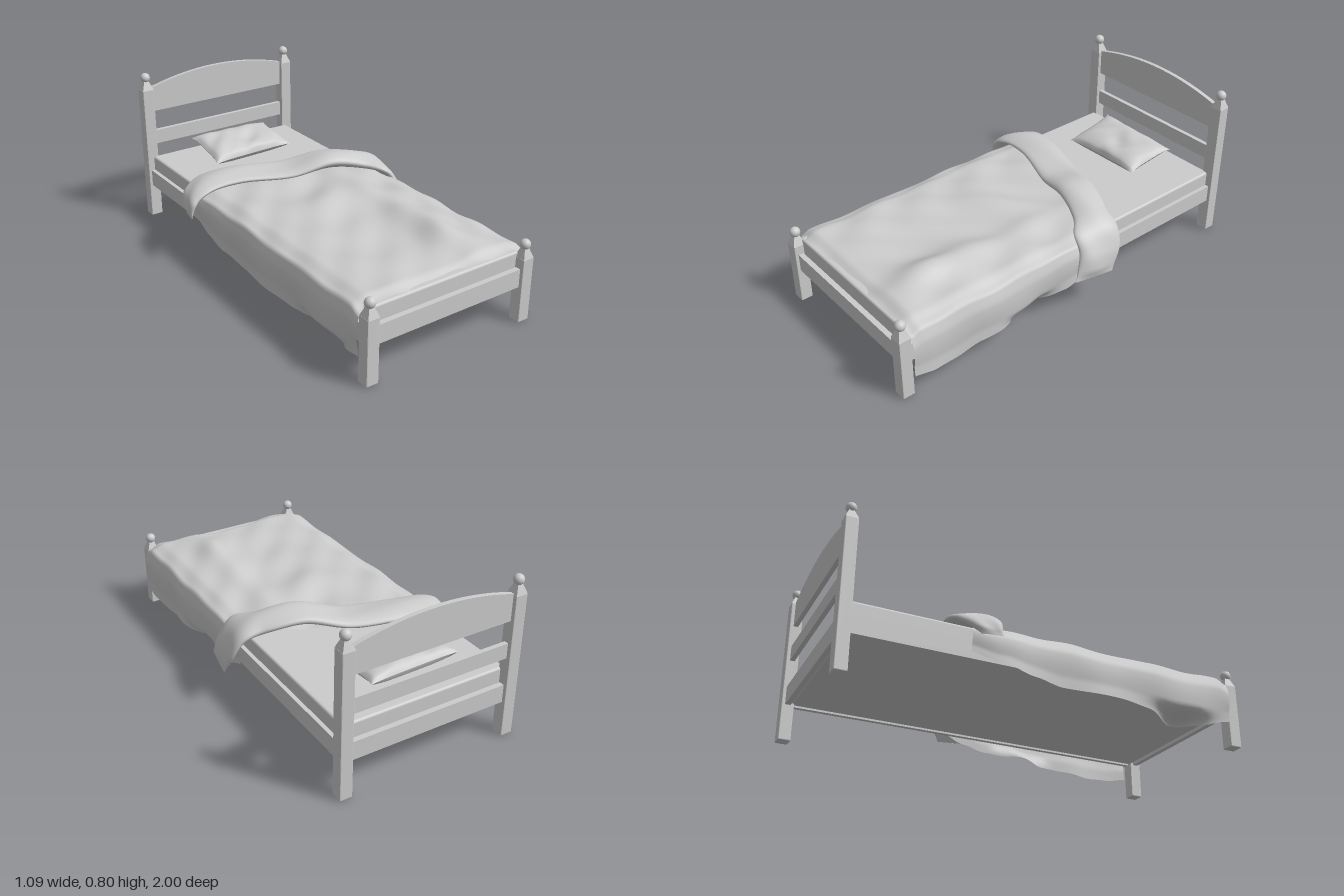
import * as THREE from 'three';
import { mergeVertices } from 'three/addons/utils/BufferGeometryUtils.js';
import { RoundedBoxGeometry } from 'three/addons/geometries/RoundedBoxGeometry.js';

const wood = new THREE.MeshStandardMaterial({ color: 0xcccccc });
const facet = new THREE.MeshStandardMaterial({ color: 0xcccccc, flatShading: true });
const cloth = new THREE.MeshStandardMaterial({ color: 0xcccccc, side: THREE.DoubleSide });

function add(parent, name, geometry, material, x = 0, y = 0, z = 0) {
  const mesh = new THREE.Mesh(geometry, material);
  mesh.name = name;
  mesh.position.set(x, y, z);
  parent.add(mesh);
  return mesh;
}

// Grid surface: fn(u, v) with u and v in 0..1 returns [x, y, z]
function surface(nu, nv, fn) {
  const pos = [], idx = [];
  for (let j = 0; j <= nv; j++)
    for (let i = 0; i <= nu; i++) pos.push(...fn(i / nu, j / nv));
  for (let j = 0; j < nv; j++)
    for (let i = 0; i < nu; i++) {
      const a = j * (nu + 1) + i, c = a + nu + 1;
      idx.push(a, c, a + 1, a + 1, c, c + 1);
    }
  let g = new THREE.BufferGeometry();
  g.setAttribute('position', new THREE.Float32BufferAttribute(pos, 3));
  g.setIndex(idx);
  g = mergeVertices(g, 1e-5);
  g.computeVertexNormals();
  return g;
}

// Smooth interpolation through evenly spaced values
function sample(list, t) {
  const f = Math.min(Math.max(t, 0), 1) * (list.length - 1);
  const i = Math.min(Math.floor(f), list.length - 2);
  return THREE.MathUtils.lerp(list[i], list[i + 1], THREE.MathUtils.smoothstep(f - i, 0, 1));
}

const bump = (a, b, ca, cb, ra, rb) => Math.exp(-(((a - ca) / ra) ** 2) - ((b - cb) / rb) ** 2);
const wrinkle = (x, z) =>
  0.005 * Math.sin(11 * x + 7 * z + 2 * Math.sin(5 * z)) +
  0.004 * Math.sin(19 * z - 8 * x + 1.5 * Math.sin(9 * x)) +
  0.0025 * Math.sin(27 * x + 23 * z);

// Square post with a tapered shoulder and a ball on top
function post(name, x, z, shoulder) {
  const g = new THREE.Group();
  g.name = name;
  g.position.set(x, 0, z);
  add(g, 'postShaft', new RoundedBoxGeometry(0.062, shoulder, 0.06, 1, 0.004), facet, 0, shoulder / 2, 0);
  const taper = new THREE.CylinderGeometry(0.018, 0.042, 0.045, 4).rotateY(Math.PI / 4);
  add(g, 'postShoulder', taper, facet, 0, shoulder + 0.02, 0);
  add(g, 'postBall', new THREE.SphereGeometry(0.025, 24, 16), wood, 0, shoulder + 0.06, 0);
  return g;
}

// Arched upper panel of the headboard
function archPanel() {
  const s = new THREE.Shape();
  s.moveTo(-0.4, 0.59);
  s.lineTo(0.4, 0.59);
  s.lineTo(0.4, 0.72);
  for (let i = 1; i <= 32; i++) {
    const x = 0.4 - 0.8 * i / 32;
    s.lineTo(x, 0.72 + 0.057 * (1 - (x / 0.4) ** 2));
  }
  return new THREE.ExtrudeGeometry(s, { depth: 0.022, bevelEnabled: false }).translate(0, 0, -0.011);
}

// Pillow half: puffed centre, pinched edges and drawn-out corners
function pillowHalf(dir) {
  return surface(36, 28, (u, v) => {
    const a = 2 * u - 1, b = 2 * v - 1;
    const puff = Math.pow((1 - a ** 4) * (1 - b ** 4), 0.55);
    const x = 0.23 * a * (1 - 0.06 * (1 - b ** 4));
    const z = 0.14 * b * (1 - 0.07 * (1 - a ** 4));
    const dent = 0.6 * wrinkle(2 * x + 0.3, 2 * z) - 0.01 * bump(a, b, 0.15, 0.2, 0.4, 0.4);
    return [x, dir * 0.043 * puff + dent * (dir > 0 ? puff : 0) + 0.006 * a * b, z];
  });
}

// Blanket: lies over the mattress and hangs down both sides
const hemPlus = [0.2, 0.16, 0.13, 0.11, 0.085, 0.1, 0.095, 0.08, 0.09, 0.11];
const hemMinus = [0.2, 0.17, 0.14, 0.12, 0.12, 0.12, 0.11, 0.085, 0.09, 0.12];
function blanketPoint(u, v) {
  const s = 2 * u - 1, side = Math.sign(s), m = Math.abs(s), split = 0.66;
  const flat = Math.min(m / split, 1) * side * 0.455;
  const z0 = -0.3 + 0.28 * flat - 0.03 * Math.cos(5 * flat);
  const z = THREE.MathUtils.lerp(z0, 0.94, v);
  // top surface with a long ridge and soft wrinkles
  let y = 0.362 + wrinkle(flat, z) + 0.05 * bump(flat, z, 0.2, 0.64, 0.09, 0.2)
    + 0.018 * bump(flat, z, 0.22, 0.2, 0.07, 0.4) + 0.015 * bump(flat, z, -0.1, 0.1, 0.25, 0.15);
  y -= 0.022 * THREE.MathUtils.smoothstep(z, 0.88, 0.94);
  y -= 0.02 * THREE.MathUtils.smoothstep(Math.abs(flat), 0.38, 0.455);
  let x = flat;
  if (m > split) {
    // hanging sides
    const q = (m - split) / (1 - split);
    y = THREE.MathUtils.lerp(y, sample(side > 0 ? hemPlus : hemMinus, v), q);
    const tuck = side > 0 ? 0.1 * bump(z, 0, 0.29, 0, 0.1, 1) : 0.12 * bump(z, 0, 0.68, 0, 0.12, 1);
    const belly = Math.sin(Math.PI * Math.min(q * 1.3, 1)) * 0.008;
    x = side * (0.457 + 0.012 * Math.min(q * 4, 1) + belly + q * 0.008 * Math.sin(14 * z + 2 * side)
      - tuck * THREE.MathUtils.smoothstep(q, 0.72, 1));
  }
  return [x, y, z];
}

// Turned-down edge of the blanket: a flattened roll crossing the bed and drooping at both ends
function foldGeometry() {
  const path = new THREE.CatmullRomCurve3([
    [-0.535, 0.26, -0.34], [-0.5, 0.335, -0.38], [-0.42, 0.375, -0.4], [-0.25, 0.393, -0.37],
    [0, 0.39, -0.3], [0.2, 0.43, -0.22], [0.36, 0.405, -0.16], [0.455, 0.37, -0.12],
    [0.505, 0.29, -0.09], [0.53, 0.18, -0.05],
  ].map(p => new THREE.Vector3(...p)));
  const widths = [0.05, 0.09, 0.1, 0.095, 0.1, 0.09, 0.09, 0.115, 0.11, 0.1];
  const depths = [0.014, 0.026, 0.025, 0.028, 0.028, 0.035, 0.034, 0.03, 0.028, 0.016];
  const across = new THREE.Vector3(0.2, 0, -0.98);
  return surface(80, 32, (u, v) => {
    const a = v * Math.PI * 2;
    const c = path.getPoint(u);
    const t = path.getTangent(u);
    const n = new THREE.Vector3().crossVectors(t, across).normalize();
    const end = Math.min(1, 0.15 + 25 * Math.min(u, 1 - u));
    const w = sample(widths, u) * (1 + 0.06 * Math.sin(23 * u + a));
    const d = sample(depths, u) * end;
    const crease = 0.006 * Math.sin(2 * a + 17 * u) * Math.sin(a) ** 2;
    c.addScaledVector(across, w * Math.cos(a));
    c.addScaledVector(n, d * Math.sin(a) + crease * end);
    return [c.x, c.y, c.z];
  });
}

export function createModel() {
  const bed = new THREE.Group();
  bed.name = 'bed';

  // Posts
  for (const side of [-1, 1]) {
    const label = side > 0 ? 'left' : 'right';
    bed.add(post(label + 'HeadPost', side * 0.428, -0.968, 0.718));
    bed.add(post(label + 'FootPost', side * 0.428, 0.968, 0.318));
    add(bed, label + 'SideRail', new THREE.BoxGeometry(0.022, 0.087, 1.9), wood, side * 0.432, 0.222, 0);
  }

  // Headboard, slat and end rails
  add(bed, 'headboardPanel', archPanel(), wood, 0, 0, -0.968);
  add(bed, 'headboardSlat', new THREE.BoxGeometry(0.8, 0.075, 0.022), wood, 0, 0.442, -0.968);
  for (const z of [-0.968, 0.968])
    add(bed, z < 0 ? 'headRail' : 'footRail', new THREE.BoxGeometry(0.8, 0.09, 0.026), wood, 0, 0.222, z);

  // Mattress
  add(bed, 'mattress', new RoundedBoxGeometry(0.846, 0.155, 1.9, 3, 0.012), wood, 0, 0.2625, 0);

  // Pillow
  const pillow = new THREE.Group();
  pillow.name = 'pillow';
  pillow.position.set(-0.003, 0.402, -0.725);
  pillow.rotation.x = 0.16;
  for (const dir of [1, -1]) add(pillow, dir > 0 ? 'pillowTop' : 'pillowBottom', pillowHalf(dir), cloth);
  bed.add(pillow);

  // Bedding
  add(bed, 'blanket', surface(120, 100, blanketPoint), cloth);
  add(bed, 'blanketFold', foldGeometry(), cloth);
  return bed;
}
